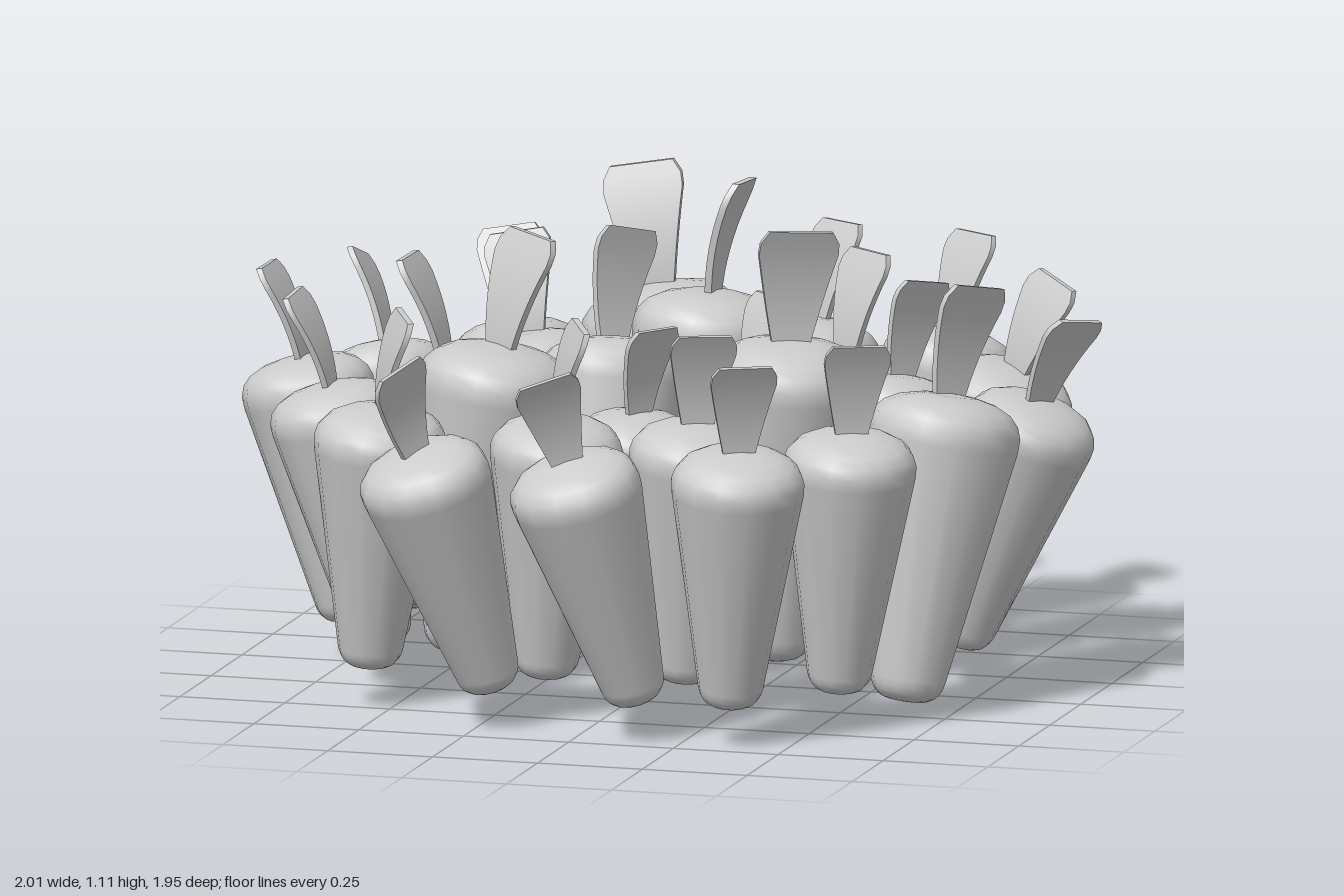
import * as THREE from 'three';

const material = new THREE.MeshStandardMaterial({ color: 0xcccccc });
const SHOULDER = 0.52; // height of the widest ring above the tip

// Tapered root, standing on its tip: rounded end, straight cone, domed shoulder
function rootGeometry() {
  const outline = new THREE.Path();
  outline.moveTo(0, 0.008);
  outline.lineTo(0.02, 0);
  outline.quadraticCurveTo(0.068, 0, 0.075, 0.045);
  outline.lineTo(0.152, SHOULDER);
  outline.bezierCurveTo(0.162, 0.58, 0.125, 0.618, 0, 0.62);
  return new THREE.LatheGeometry(outline.getPoints(6), 14);
}

// Thin leaf that flares upwards, has rounded top corners and bends towards +z
function leafGeometry() {
  const geo = new THREE.BoxGeometry(2, 1, 1, 4, 10, 1);
  const p = geo.attributes.position;
  for (let i = 0; i < p.count; i++) {
    const t = p.getY(i) + 0.5;
    const u = p.getX(i);
    const corner = 0.026 * Math.max(0, (t - 0.8) / 0.2) ** 2;
    const halfWidth = 0.034 + 0.053 * t - corner;
    const bend = 0.055 * t * t - 0.012 * t;
    p.setXYZ(i, u * halfWidth, 0.6 + 0.24 * t, p.getZ(i) * 0.014 + bend);
  }
  geo.computeVertexNormals();
  return geo;
}

// Carrots grouped by the way their leaf bends (degrees from +z towards +x).
// x, z: shoulder; lean: tip relative to the shoulder; tip: height of the tip
const groups = [
  { turn: 183, carrots: [
    { x: -0.54, z: -0.68, lean: [0.1, 0.15] },
    { x: -0.23, z: -0.8, lean: [0.11, 0.01], scale: 1.23, tip: 0.025 },
    { x: -0.41, z: -0.37, scale: 1.03 },
  ] },
  { turn: 148, carrots: [
    { x: 0.13, z: -0.78 },
    { x: 0.46, z: -0.74 },
    { x: 0.3, z: -0.45 },
    { x: 0.68, z: -0.47, lean: [-0.16, -0.03] },
    { x: 0.16, z: -0.17, scale: 0.93 },
    { x: -0.33, z: 0.23, lean: [-0.08, 0.02], scale: 1.17 },
  ] },
  { turn: 90, carrots: [{ x: -0.03, z: -0.49, scale: 1.17 }] },
  { turn: -90, carrots: [
    { x: -0.76, z: -0.39, lean: [0.11, 0.17] },
    { x: -0.85, z: -0.04 },
    { x: -0.52, z: -0.07, scale: 1.09, tip: 0.065 },
    { x: -0.7, z: 0.24 },
  ] },
  { turn: 57, carrots: [
    { x: -0.17, z: -0.17, lean: [0.03, 0.18], scale: 1.12 },
    { x: 0.5, z: -0.2, lean: [-0.05, 0.08] },
    { x: 0.83, z: -0.14, lean: [-0.17, -0.02] },
    { x: 0, z: 0.2, scale: 0.93 },
    { x: 0.72, z: 0.17, lean: [-0.06, 0.1], scale: 1.15, tip: 0.06 },
    { x: -0.33, z: 0.77, lean: [0.11, -0.15] },
  ] },
  { turn: 120, carrots: [
    { x: -0.52, z: 0.51 },
    { x: -0.1, z: 0.51 },
  ] },
  { turn: 27, carrots: [
    { x: 0.34, z: 0.13, scale: 1.21 },
    { x: 0.22, z: 0.47 },
    { x: 0.59, z: 0.48 },
    { x: 0.04, z: 0.81, lean: [0.1, -0.14] },
    { x: 0.4, z: 0.74 },
  ] },
];

// Most tips sit slightly inwards of the shoulder, more so on the left side
function usualLean(x, z) {
  return [x < -0.2 && z < 0.3 ? 0.1 : -0.04, -0.1 * z];
}

export function createModel() {
  const model = new THREE.Group();
  model.name = 'carrotCluster';
  const rootGeo = rootGeometry();
  const leafGeo = leafGeometry();
  const up = new THREE.Vector3(0, 1, 0);

  for (const { turn, carrots } of groups) {
    for (const { x, z, scale = 1, tip = 0.11, lean = usualLean(x, z) } of carrots) {
      const carrot = new THREE.Group();
      carrot.name = 'carrot';

      const root = new THREE.Mesh(rootGeo, material);
      root.name = 'root';
      const leaf = new THREE.Mesh(leafGeo, material);
      leaf.name = 'leaf';
      leaf.rotation.y = THREE.MathUtils.degToRad(turn);
      carrot.add(root, leaf);

      // Lean the carrot from its tip to its shoulder
      const [tx, tz] = lean;
      const rise = Math.sqrt((SHOULDER * scale) ** 2 - tx * tx - tz * tz);
      const axis = new THREE.Vector3(-tx, rise, -tz).normalize();
      carrot.quaternion.setFromUnitVectors(up, axis);
      carrot.position.set(x + tx, tip, z + tz);
      carrot.scale.setScalar(scale);
      model.add(carrot);
    }
  }
  return model;
}
